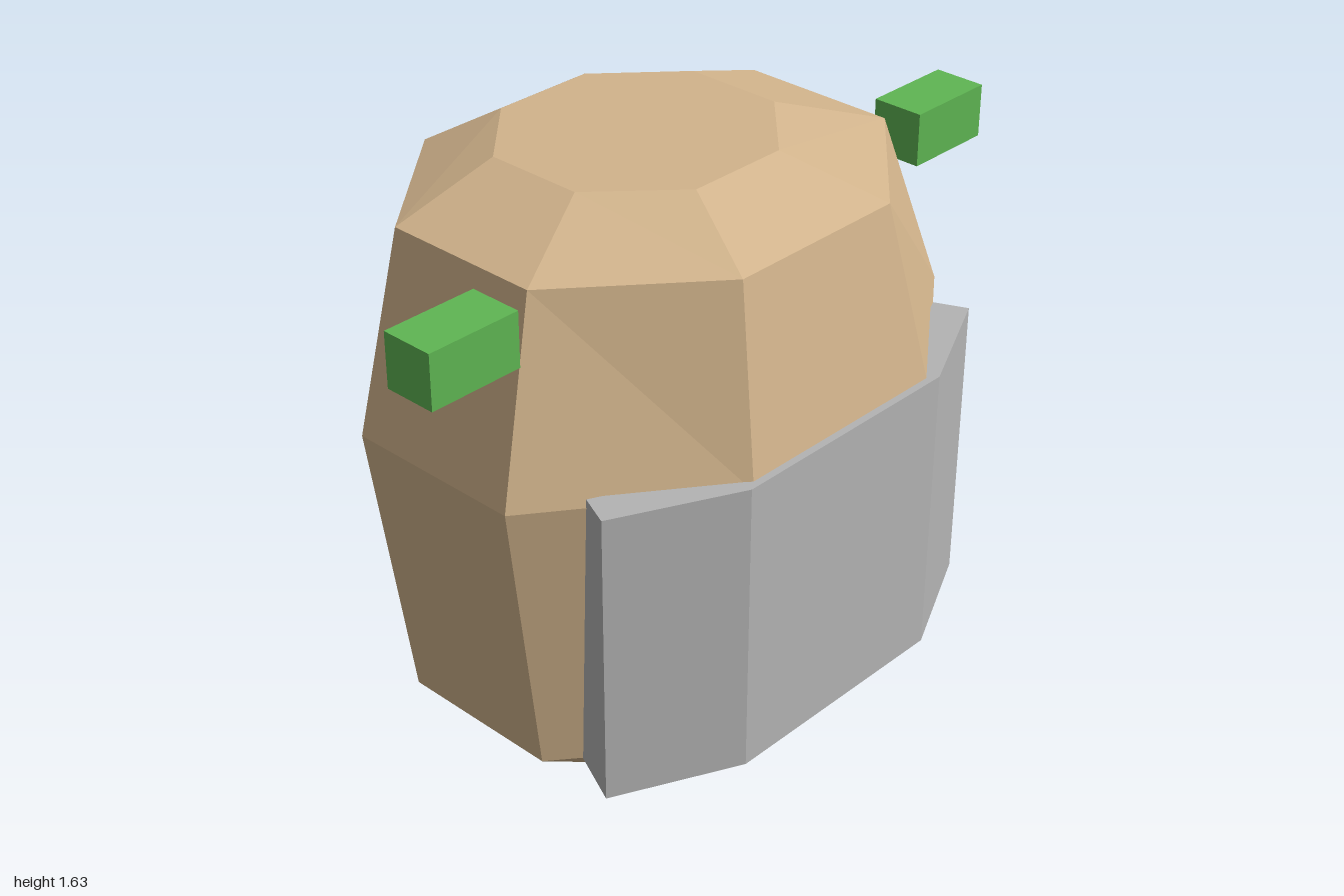
import * as THREE from 'three';

const tan = new THREE.MeshStandardMaterial({ color: 0xd2b48c });
tan.name = 'tan';
const grey = new THREE.MeshStandardMaterial({ color: 0xb4b4b4 });
grey.name = 'grey';
const green = new THREE.MeshStandardMaterial({ color: 0x5fb653 });
green.name = 'green';

// Joins stacked rings of [x, y, z] (counter-clockwise from above) into a closed, flat-faced solid.
function loft(rings, flipRow = -1) {
  const out = [];
  const tri = (a, b, c) => out.push(...a, ...b, ...c);
  const n = rings[0].length;
  for (let r = 0; r < rings.length - 1; r++) {
    for (let i = 0; i < n; i++) {
      const j = (i + 1) % n;
      const a = rings[r][i], b = rings[r][j], c = rings[r + 1][j], d = rings[r + 1][i];
      if (r === flipRow) { tri(a, b, c); tri(a, c, d); }
      else { tri(a, b, d); tri(b, c, d); }
    }
  }
  const cap = (ring, up) => {
    const flat = ring.map(([x, , z]) => new THREE.Vector2(x, -z));
    for (const [a, b, c] of THREE.ShapeUtils.triangulateShape(flat, [])) {
      if (up) tri(ring[a], ring[b], ring[c]);
      else tri(ring[a], ring[c], ring[b]);
    }
  };
  cap(rings[0], false);
  cap(rings[rings.length - 1], true);
  const geo = new THREE.BufferGeometry();
  geo.setAttribute('position', new THREE.Float32BufferAttribute(out, 3));
  geo.computeVertexNormals();
  return geo;
}

// Eight-sided ring: half widths of sides and front, then depth of each corner pair.
function octagon([y, wide, narrow, sideFront, sideBack, front, back]) {
  return [
    [wide, y, sideFront], [wide, y, sideBack], [narrow, y, back], [-narrow, y, back],
    [-wide, y, sideBack], [-wide, y, sideFront], [-narrow, y, front], [narrow, y, front],
  ];
}

// Plate ring: its two ends meet the body, the rest of the inside is buried in it.
function plateRing(y, endX, endZ) {
  const half = [[0.36, 0.62], [0.70, 0.455], [endX, endZ], [0.29, 0.54]];
  const right = half.map(([x, z]) => [x, y, z]);
  const left = half.map(([x, z]) => [-x, y, z]).reverse();
  return [...right, ...left];
}

export function createModel() {
  const model = new THREE.Group();
  const add = (name, geometry, material) => {
    const mesh = new THREE.Mesh(geometry, material);
    mesh.name = name;
    model.add(mesh);
    return mesh;
  };

  // Faceted barrel body
  add('body', loft([
    [0, 0.44, 0.19, 0.17, -0.18, 0.42, -0.43],
    [0.205, 0.71, 0.295, 0.235, -0.24, 0.57, -0.575],
    [1.02, 0.815, 0.335, 0.25, -0.265, 0.605, -0.62],
    [1.53, 0.65, 0.27, 0.175, -0.285, 0.5, -0.605],
    [1.63, 0.36, 0.15, 0.04, -0.245, 0.24, -0.44],
  ].map(octagon), 1), tan);

  // Folded plate wrapped round the front
  add('frontPlate', loft([plateRing(0.205, 0.63, 0.303), plateRing(1.045, 0.66, 0.365)]), grey);

  // Blocks beside the top
  for (const [name, side] of [['leftBlock', 1], ['rightBlock', -1]]) {
    add(name, new THREE.BoxGeometry(0.27, 0.15, 0.15), green).position.set(side * 0.865, 1.455, 0.155);
  }
  return model;
}
